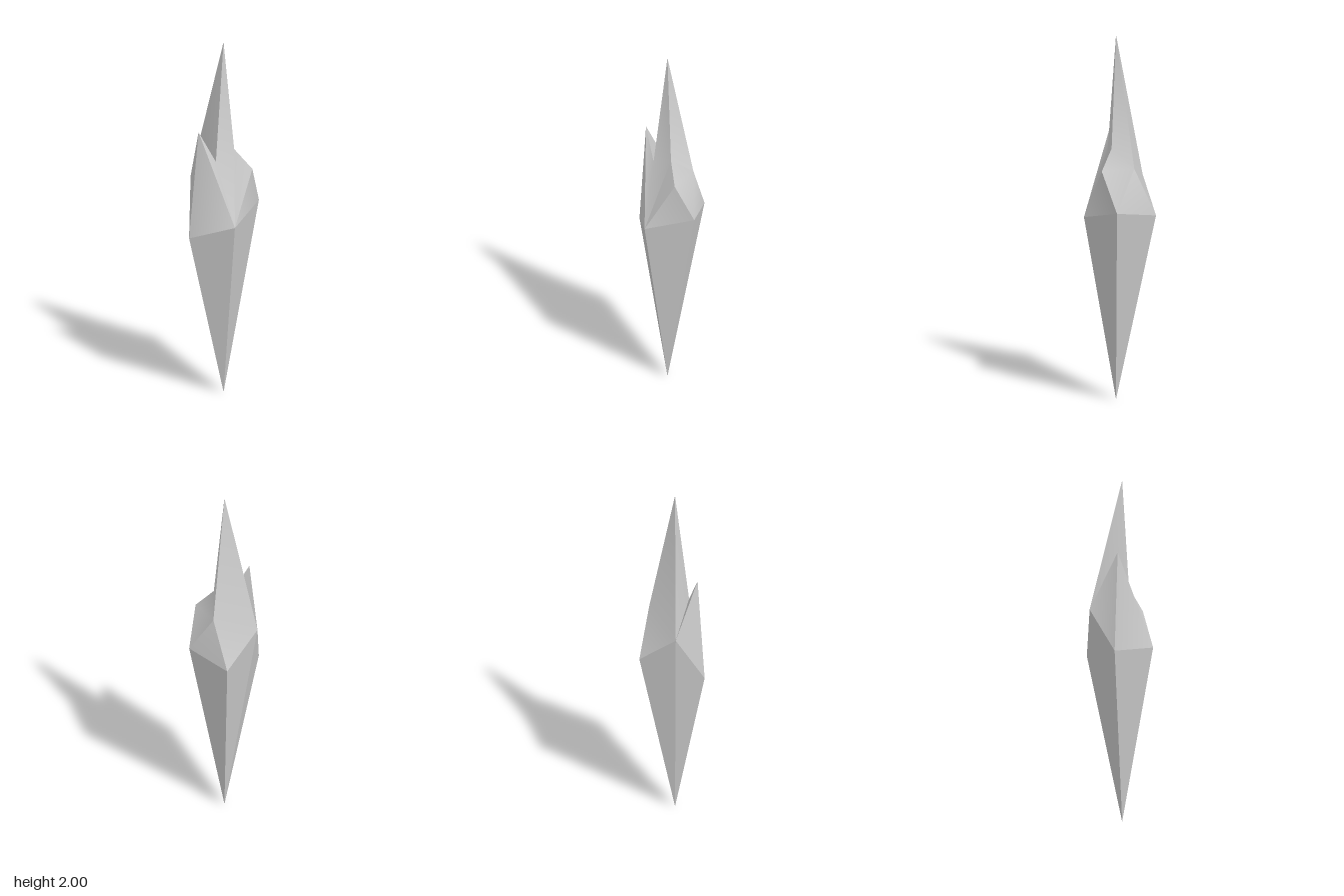
import * as THREE from 'three';
import { toCreasedNormals } from 'three/addons/utils/BufferGeometryUtils.js';

// Named corners of the crystal
const P = {
  base: [0, 0, 0.015],
  // girdle
  left: [-0.2, 0.91, 0.003], front: [-0.02, 1.0, 0.184], right: [0.2, 1.07, 0.037],
  backR: [0.09, 1.025, -0.187], backL: [-0.115, 1.2, -0.143],
  // crown
  spike: [-0.148, 1.51, 0.012], notch: [-0.065, 1.34, 0.052], knee: [0.048, 1.39, 0.045],
  shoulderF: [0.124, 1.285, 0.108], shoulderB: [0.11, 1.29, -0.068],
  top: [0, 2, 0.015],
};

// Faceted mesh from triangles that name their corners counter-clockwise
function facets(name, triangles, crease) {
  const geometry = new THREE.BufferGeometry();
  const positions = triangles.flatMap((t) => t.flatMap((corner) => P[corner]));
  geometry.setAttribute('position', new THREE.Float32BufferAttribute(positions, 3));
  geometry.computeVertexNormals();
  const mesh = new THREE.Mesh(
    toCreasedNormals(geometry, crease),
    new THREE.MeshStandardMaterial({ color: 0xcccccc, side: THREE.DoubleSide })
  );
  mesh.name = name;
  return mesh;
}

export function createModel() {
  const group = new THREE.Group();
  group.name = 'crystalShard';

  // Long lower point: a fan from the girdle down to the base tip
  const girdle = ['left', 'front', 'right', 'backR', 'backL'];
  const fan = girdle.map((c, i) => ['base', girdle[(i + 1) % girdle.length], c]);
  group.add(facets('lowerPoint', fan, 0.1));

  // Broken crown: small spike, front shoulder and tall main spike
  group.add(facets('crown', [
    ['left', 'front', 'spike'], ['spike', 'front', 'notch'],
    ['notch', 'backL', 'spike'], ['spike', 'backL', 'left'],
    ['notch', 'front', 'knee'], ['knee', 'front', 'shoulderF'],
    ['front', 'right', 'shoulderF'], ['shoulderF', 'right', 'shoulderB'],
    ['knee', 'shoulderF', 'shoulderB'], ['right', 'backR', 'shoulderB'],
    ['shoulderB', 'backR', 'backL'],
    ['shoulderB', 'backL', 'top'], ['knee', 'shoulderB', 'top'],
    ['notch', 'knee', 'top'], ['notch', 'top', 'backL'],
  ], 0.7));

  return group;
}
